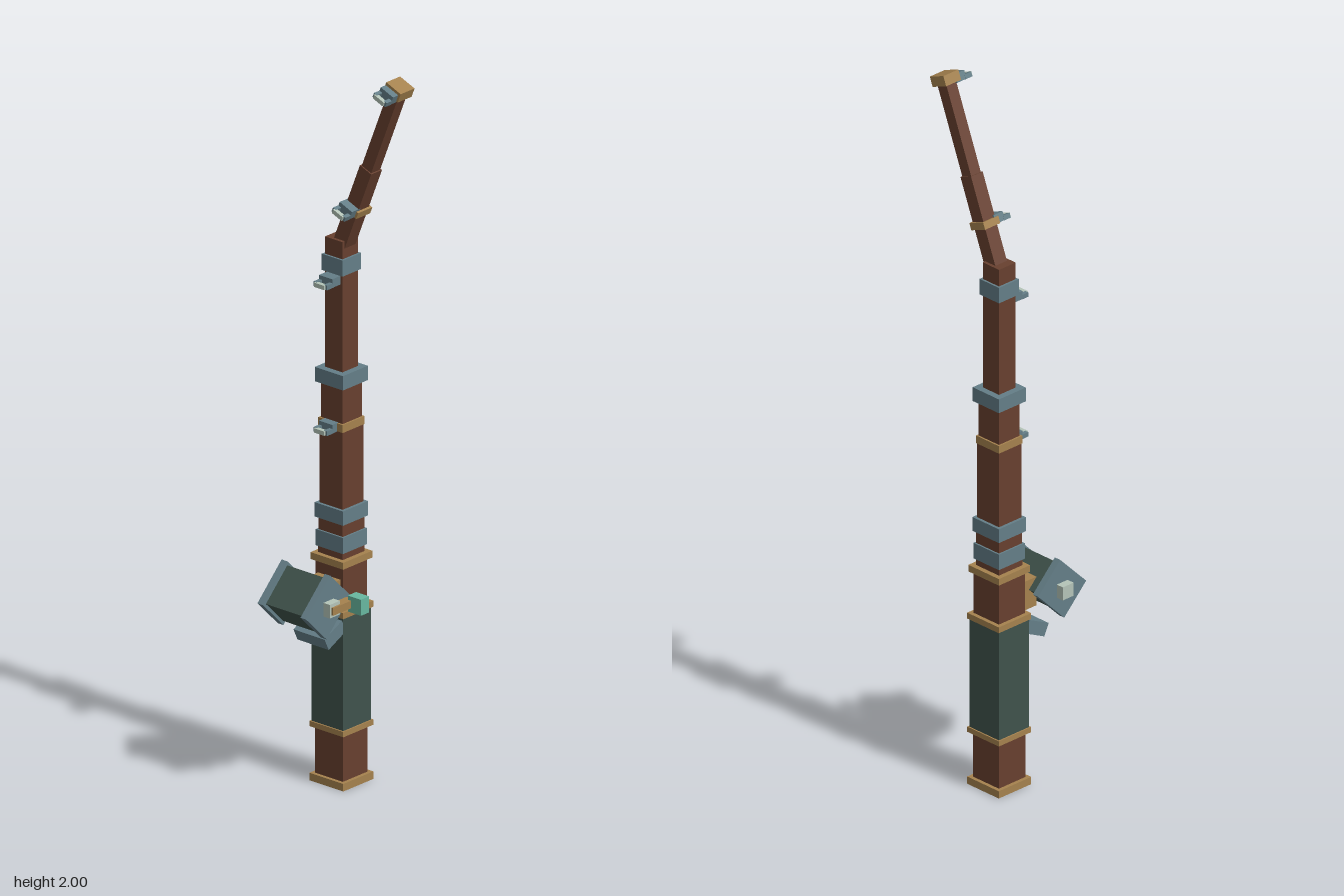
import * as THREE from 'three';

const mat = (name, color) => {
  const m = new THREE.MeshStandardMaterial({ color });
  m.name = name;
  return m;
};

export function createModel() {
  const wood = mat('wood', 0x68402f);
  const brass = mat('brass', 0xa5824e);
  const steel = mat('steel', 0x647e87);
  const green = mat('dark green', 0x40534c);
  const teal = mat('teal', 0x68b8a0);
  const pale = mat('pale metal', 0xb4c4b8);

  const root = new THREE.Group();
  root.name = 'fishingRod';

  // Box given by its centre and size
  const box = (parent, name, material, [x, y, z], [w, h, d]) => {
    const m = new THREE.Mesh(new THREE.BoxGeometry(w, h, d), material);
    m.name = name;
    m.position.set(x, y, z);
    parent.add(m);
    return m;
  };

  const AX = -0.062, AZ = -0.089;

  // Straight pole: square sections stacked along y [name, material, bottom, top, width]
  const sections = [
    ['buttCap', brass, 0, 0.021, 0.117],
    ['buttWood', wood, 0.021, 0.151, 0.096],
    ['lowerGripBand', brass, 0.151, 0.166, 0.117],
    ['grip', green, 0.166, 0.48, 0.109],
    ['upperGripBand', brass, 0.48, 0.497, 0.117],
    ['reelSeatWood', wood, 0.497, 0.617, 0.094],
    ['reelSeatBand', brass, 0.617, 0.636, 0.113],
    ['lowerCollarWood', wood, 0.636, 0.655, 0.085],
    ['lowerCollar', steel, 0.655, 0.7, 0.094],
    ['collarWood', wood, 0.7, 0.735, 0.084],
    ['collar', steel, 0.735, 0.775, 0.098],
    ['lowerPole', wood, 0.775, 0.99, 0.081],
    ['guideBand', brass, 0.99, 1.012, 0.085],
    ['middlePole', wood, 1.012, 1.112, 0.075],
    ['jointCollar', steel, 1.112, 1.152, 0.097],
    ['upperPole', wood, 1.152, 1.515, 0.06],
    ['upperCollar', steel, 1.422, 1.467, 0.072],
  ];
  for (const [name, m, y0, y1, w] of sections) {
    box(root, name, m, [AX, (y0 + y1) / 2, AZ], [w, y1 - y0, w]);
  }

  // Line guide: stem, two arms and a pale front bar; reaches from zBack to zFront
  const guide = (parent, x, y, zBack, zFront) => {
    const g = new THREE.Group();
    g.name = 'lineGuide';
    g.position.set(x, y, 0);
    parent.add(g);
    const zs = zFront - 0.026;
    box(g, 'guideStem', steel, [0, 0.004, (zBack + zs) / 2], [0.046, 0.024, zs - zBack]);
    for (const s of [-1, 1]) {
      box(g, 'guideArm', steel, [s * 0.018, -0.002, zFront - 0.017], [0.011, 0.013, 0.024]);
    }
    box(g, 'guideBar', pale, [0, -0.002, zFront - 0.006], [0.036, 0.012, 0.012]);
  };
  guide(root, AX, 0.997, -0.055, -0.002);
  guide(root, AX, 1.403, -0.065, -0.002);

  // Bent tip: local y runs along the tilted rod, origin at the end ring
  const tip = new THREE.Group();
  tip.name = 'bentTip';
  tip.position.set(0.137, 1.977, 0);
  tip.rotation.z = -0.378;
  root.add(tip);
  box(tip, 'tipLowerRod', wood, [0, -0.387, AZ], [0.042, 0.25, 0.042]);
  box(tip, 'tipUpperRod', wood, [0, -0.131, AZ], [0.035, 0.262, 0.035]);
  box(tip, 'tipEndRing', brass, [0, 0, AZ], [0.054, 0.028, 0.054]);
  box(tip, 'tipLowerRing', brass, [0, -0.395, AZ], [0.055, 0.02, 0.055]);
  guide(tip, -0.002, -0.01, -0.075, -0.016);
  guide(tip, -0.002, -0.395, -0.075, -0.016);

  // Reel mount and slanted steel foot
  box(root, 'reelMount', brass, [AX, 0.54, -0.02], [0.077, 0.083, 0.056]);
  const foot = box(root, 'reelFoot', steel, [AX, 0.442, -0.005], [0.108, 0.037, 0.075]);
  foot.rotation.x = 0.45;

  // Reel: drum between two plates, turned on its corner
  const reel = new THREE.Group();
  reel.name = 'reel';
  reel.position.set(AX, 0.546, 0.056);
  root.add(reel);
  const body = new THREE.Group();
  body.name = 'reelBody';
  body.rotation.x = Math.PI / 4;
  reel.add(body);
  box(body, 'drum', green, [0, 0, 0], [0.13, 0.096, 0.117]);
  for (const s of [-1, 1]) {
    box(body, 'reelPlate', steel, [s * 0.0745, 0, 0], [0.0195, 0.112, 0.133]);
  }
  box(reel, 'axle', pale, [0, 0, 0], [0.213, 0.038, 0.039]);

  // Crank arm and knob
  box(root, 'crankArm', brass, [0.037, 0.545, 0.028], [0.027, 0.021, 0.082]);
  box(root, 'crankKnob', teal, [0.062, 0.545, -0.016], [0.045, 0.045, 0.032]);

  return root;
}
